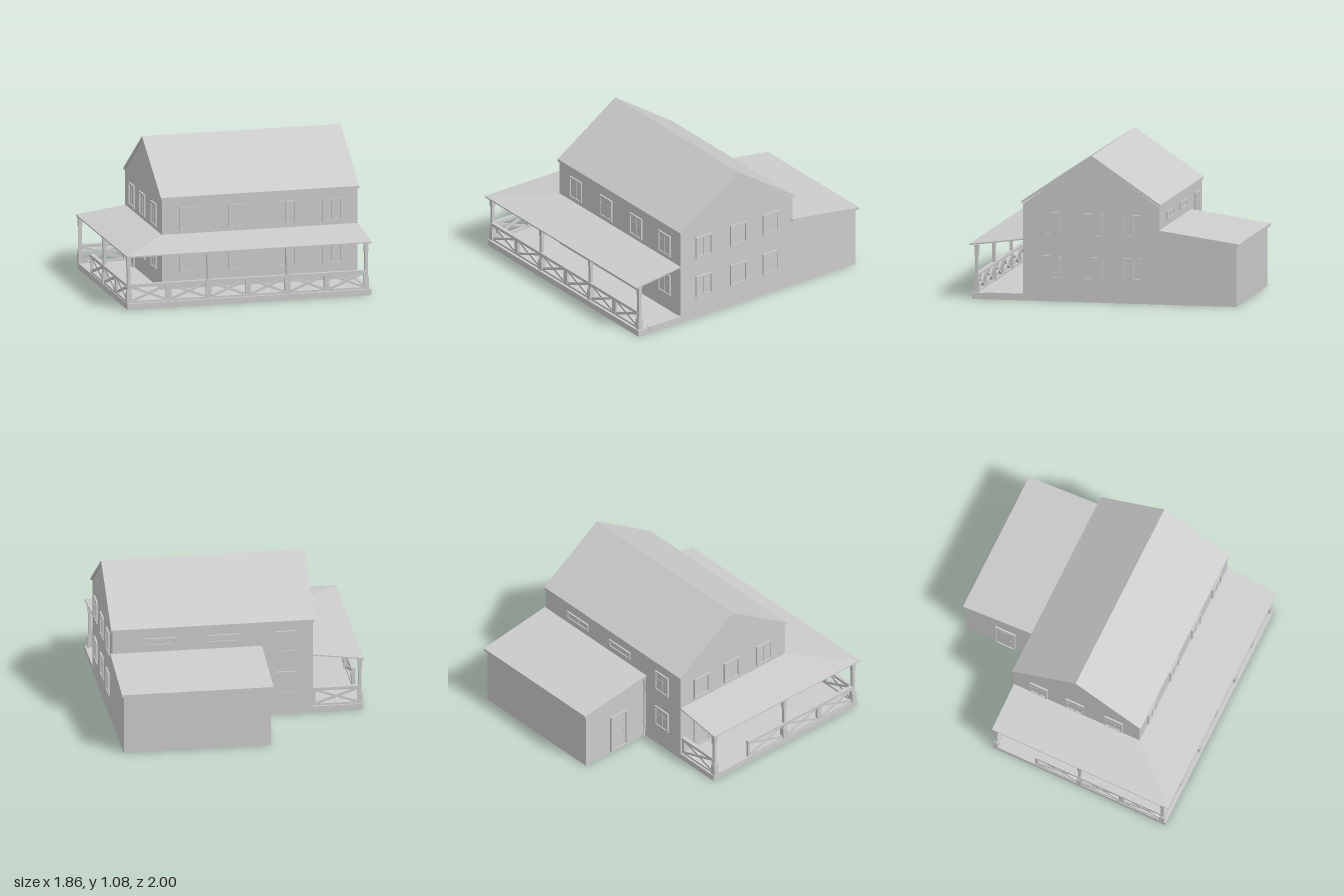
import * as THREE from 'three';

const material = new THREE.MeshStandardMaterial({ color: 0xcccccc, flatShading: true });

export function createModel() {
  const house = new THREE.Group();
  house.name = 'farmhouse';

  const add = (parent, name, geometry) => {
    const mesh = new THREE.Mesh(geometry, material);
    mesh.name = name;
    parent.add(mesh);
    return mesh;
  };
  const box = (parent, name, w, h, d, x, y, z) => {
    const mesh = add(parent, name, new THREE.BoxGeometry(w, h, d));
    mesh.position.set(x, y, z);
    return mesh;
  };
  const group = (name, x, y, z, turn = 0) => {
    const g = new THREE.Group();
    g.name = name;
    g.position.set(x, y, z);
    g.rotation.y = turn;
    house.add(g);
    return g;
  };
  const outline = (points) => new THREE.Shape(points.map(([a, b]) => new THREE.Vector2(a, b)));

  // Side profile of [z, y] points swept from x0 to x1
  const prism = (name, points, x0, x1) => {
    const geometry = new THREE.ExtrudeGeometry(outline(points), { depth: x1 - x0, bevelEnabled: false });
    geometry.rotateY(-Math.PI / 2).translate(x1, 0, 0);
    return add(house, name, geometry);
  };

  // Main block and its gable roof
  prism('mainWalls', [[0.6, 0], [0.6, 0.71], [0.09, 1.05], [-0.41, 0.71], [-0.41, 0]], -0.56, 0.91);
  prism('mainRoof', [[0.61, 0.71], [0.09, 1.05], [-0.42, 0.71], [-0.42, 0.73], [0.09, 1.075], [0.61, 0.73]],
    -0.57, 0.92);

  // Rear annex with a lean-to roof
  prism('annexWalls', [[-0.4, 0], [-0.4, 0.53], [-0.98, 0.447], [-0.98, 0]], -0.17, 0.91);
  prism('annexRoof', [[-0.4, 0.525], [-0.4, 0.545], [-1, 0.46], [-1, 0.44]], -0.185, 0.925);

  // Wrap-around porch floor
  box(house, 'frontPorchFloor', 1.83, 0.045, 0.38, -0.005, 0.0225, 0.79);
  box(house, 'sidePorchFloor', 0.36, 0.045, 1.01, -0.74, 0.0225, 0.095);
  box(house, 'porchEndSill', 0.03, 0.03, 0.285, 0.898, 0.035, 0.742);

  // Porch roof: two plan outlines meeting on a hip, raised along the walls
  const porchRoof = (name, plan) => {
    const geometry = new THREE.ExtrudeGeometry(outline(plan), { depth: 0.01, bevelEnabled: false });
    geometry.rotateX(Math.PI / 2);
    const p = geometry.attributes.position;
    for (let i = 0; i < p.count; i++) {
      const atWall = p.getX(i) > -0.57 && p.getZ(i) < 0.61;
      p.setY(i, p.getY(i) + (atWall ? 0.453 : 0.402));
    }
    geometry.computeVertexNormals();
    add(house, name, geometry);
  };
  porchRoof('frontPorchRoof', [[-0.56, 0.6], [0.91, 0.6], [0.91, 1], [-0.93, 1]]);
  porchRoof('sidePorchRoof', [[-0.56, 0.6], [-0.93, 1], [-0.93, -0.41], [-0.56, -0.41]]);

  // Porch posts with thicker base and cap
  const postX = [-0.905, -0.305, 0.288, 0.878];
  const posts = [...postX.map((x) => [x, 0.95]), [-0.905, 0.285], [-0.905, -0.385]];
  for (const [x, z] of posts) {
    const post = group('porchPost', x, 0, z);
    box(post, 'postBase', 0.038, 0.085, 0.038, 0, 0.0825, 0);
    box(post, 'postCollar', 0.03, 0.02, 0.03, 0, 0.132, 0);
    box(post, 'postShaft', 0.022, 0.345, 0.022, 0, 0.217, 0);
    box(post, 'postCap', 0.03, 0.075, 0.03, 0, 0.355, 0);
    box(post, 'postCapTrim', 0.036, 0.012, 0.036, 0, 0.384, 0);
  }

  // Railing panel between two [x, z] points, filled with a cross brace
  const railing = ([x0, z0], [x1, z1]) => {
    const length = Math.hypot(x1 - x0, z1 - z0);
    const panel = group('porchRailing', (x0 + x1) / 2, 0, (z0 + z1) / 2, Math.atan2(z0 - z1, x1 - x0));
    box(panel, 'topRail', length, 0.022, 0.03, 0, 0.173, 0);
    box(panel, 'bottomRail', length, 0.015, 0.02, 0, 0.052, 0);
    for (const s of [-1, 1]) {
      box(panel, 'railingStile', 0.02, 0.12, 0.02, s * (length / 2 - 0.01), 0.11, 0);
      const brace = box(panel, 'crossBrace', Math.hypot(length - 0.05, 0.1), 0.018, 0.014, 0, 0.111, s * 0.002);
      brace.rotation.z = s * Math.atan2(0.1, length - 0.05);
    }
  };
  for (let i = 0; i < 3; i++) {
    const middle = (postX[i] + postX[i + 1]) / 2;
    railing([postX[i], 0.95], [middle, 0.95]);
    railing([middle, 0.95], [postX[i + 1], 0.95]);
  }
  const sideStops = [0.95, 0.62, 0.285, -0.07];
  for (let i = 0; i < 3; i++) railing([-0.905, sideStops[i]], [-0.905, sideStops[i + 1]]);
  railing([-0.905, -0.385], [-0.56, -0.385]);

  // Raised rectangular frame facing local +z
  const frame = (parent, w, h, t) => {
    for (const s of [-1, 1]) {
      box(parent, 'frameSide', t, h, 0.024, s * (w - t) / 2, 0, 0);
      box(parent, 'frameRail', w - 2 * t, t, 0.024, 0, s * (h - t) / 2, 0);
    }
    box(parent, 'pane', w - 2 * t, h - 2 * t, 0.008, 0, 0, 0);
  };
  const windowAt = (x, y, z, turn, w = 0.145, h = 0.168) => {
    const g = group('window', x, y, z, turn);
    frame(g, w, h, 0.013);
    box(g, 'mullion', 0.014, h - 0.026, 0.016, 0, 0, 0);
    if (h > 0.1) box(g, 'glazingBar', w - 0.026, 0.006, 0.012, 0, h * 0.12, 0);
  };
  const doorAt = (x, y, z, turn, w, h) => {
    const g = group('door', x, y + h / 2, z, turn);
    frame(g, w, h, 0.014);
    box(g, 'doorLeaf', w - 0.04, h - 0.04, 0.013, 0, 0, 0);
    box(g, 'doorPanel', w * 0.45, h * 0.3, 0.018, 0, h * 0.2, 0);
    box(g, 'doorHandle', 0.01, 0.02, 0.026, w * 0.3, -0.01, 0);
  };

  // Windows and doors on each wall
  const quarter = Math.PI / 2;
  for (const y of [0.249, 0.566]) {
    for (const x of [-0.358, 0.01, 0.372, 0.718]) windowAt(x, y, 0.6, 0);
    for (const z of [0.392, 0.08, -0.21]) {
      windowAt(0.91, y, z, quarter);
      if (y > 0.5 || z > 0) windowAt(-0.56, y, z, -quarter);
    }
    windowAt(-0.36, y, -0.41, Math.PI);
  }
  for (const x of [0.1, 0.56]) windowAt(x, 0.62, -0.41, Math.PI, 0.23, 0.06);
  doorAt(-0.56, 0.045, -0.21, -quarter, 0.15, 0.3);
  doorAt(-0.17, 0.01, -0.665, -quarter, 0.16, 0.31);

  // Downpipe in the corner between house and annex
  const pipe = [[-0.186, 0.53, -0.43], [-0.186, 0.48, -0.43], [-0.18, 0.43, -0.422], [-0.18, 0.08, -0.422],
    [-0.188, 0.04, -0.435], [-0.19, 0.01, -0.44]].map((p) => new THREE.Vector3(...p));
  add(house, 'downpipe', new THREE.TubeGeometry(new THREE.CatmullRomCurve3(pipe), 24, 0.008, 8));

  return house;
}
